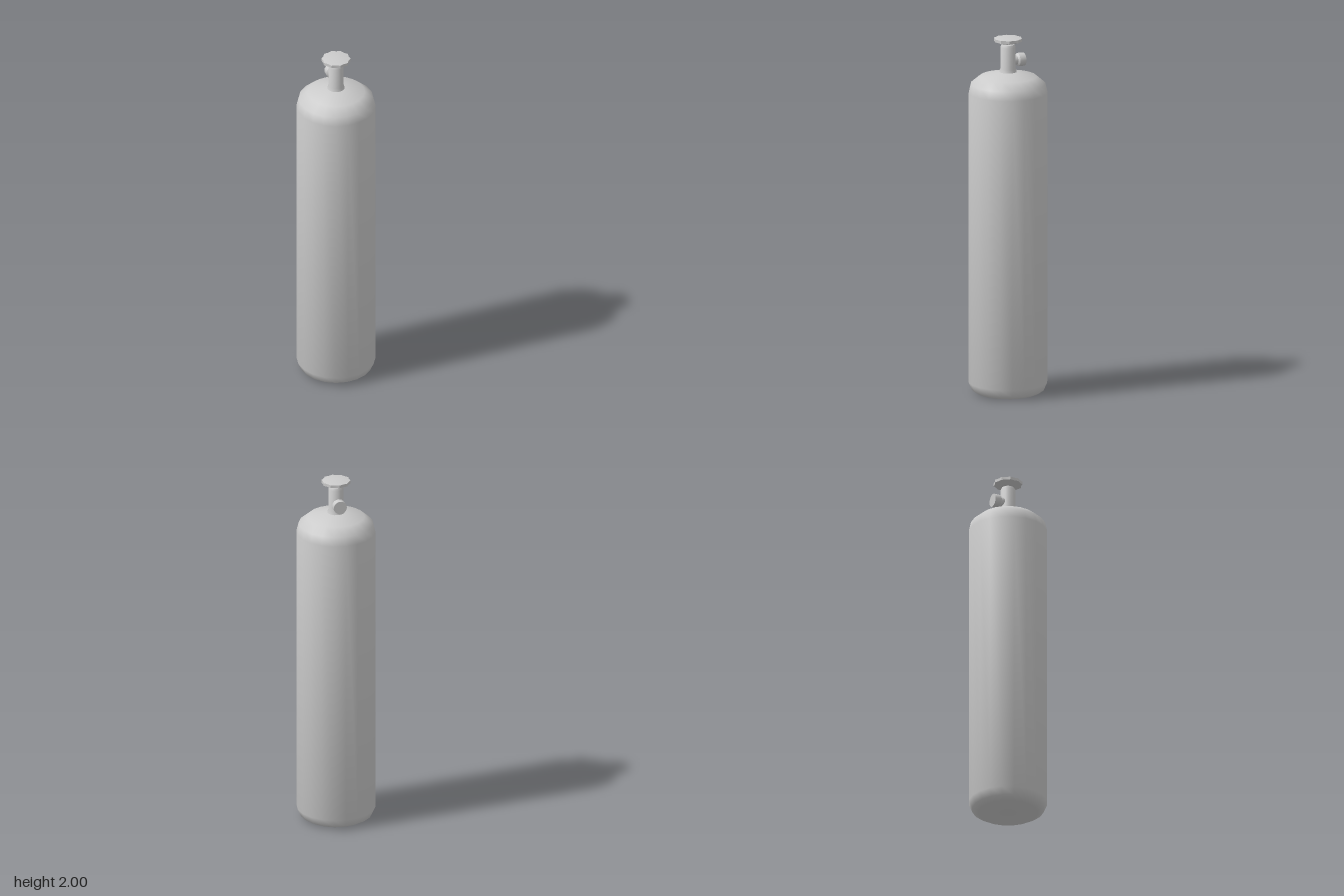
import * as THREE from 'three';
import { toCreasedNormals } from 'three/addons/utils/BufferGeometryUtils.js';

const material = new THREE.MeshStandardMaterial({ color: 0xcccccc });

// Revolve [radius, y] pairs, listed bottom to top, around the y axis
function turned(name, profile, segments, crease = 0.75) {
  const points = profile.map(([r, y]) => new THREE.Vector2(r, y));
  const geometry = toCreasedNormals(new THREE.LatheGeometry(points, segments), crease);
  const mesh = new THREE.Mesh(geometry, material);
  mesh.name = name;
  return mesh;
}

// Handwheel: a shallow lens whose rim alternates between lobes and notches
function makeHandwheel() {
  const lobes = 10;
  const points = [[0, 1.963], [0.05, 1.963], [0.079, 1.972], [0.079, 1.988], [0, 2]]
    .map(([r, y]) => new THREE.Vector2(r, y));
  const geometry = new THREE.LatheGeometry(points, lobes * 2);
  const p = geometry.attributes.position;
  for (let i = 0; i < p.count; i++) {
    const x = p.getX(i), z = p.getZ(i);
    const step = Math.round(Math.atan2(x, z) / (Math.PI / lobes));
    const scale = step % 2 === 0 ? 1 : 0.92;
    p.setXYZ(i, x * scale, p.getY(i), z * scale);
  }
  const mesh = new THREE.Mesh(toCreasedNormals(geometry, 0.45), material);
  mesh.name = 'handwheel';
  return mesh;
}

export function createModel() {
  const model = new THREE.Group();
  model.name = 'gasCylinder';

  // Tank with rounded foot and domed shoulder
  model.add(turned('tank', [
    [0, 0.004], [0.165, 0.004], [0.197, 0.022], [0.216, 0.065],
    [0.216, 1.685], [0.204, 1.735], [0.156, 1.775], [0.045, 1.801], [0, 1.803],
  ], 20));

  // Valve body with a small flare at the foot and a chamfered top
  model.add(turned('valveBody', [
    [0.05, 1.79], [0.047, 1.803], [0.042, 1.818], [0.042, 1.938], [0.035, 1.953], [0, 1.953],
  ], 16));

  // Stem joining valve and handwheel
  model.add(turned('stem', [[0.015, 1.945], [0.015, 1.97]], 12));
  model.add(makeHandwheel());

  // Outlet on the back of the valve
  const outlet = turned('outlet', [
    [0.027, 0.02], [0.027, 0.05], [0.037, 0.058], [0.037, 0.094], [0, 0.094],
  ], 16);
  outlet.rotation.x = -Math.PI / 2;
  outlet.position.y = 1.862;
  model.add(outlet);

  return model;
}
